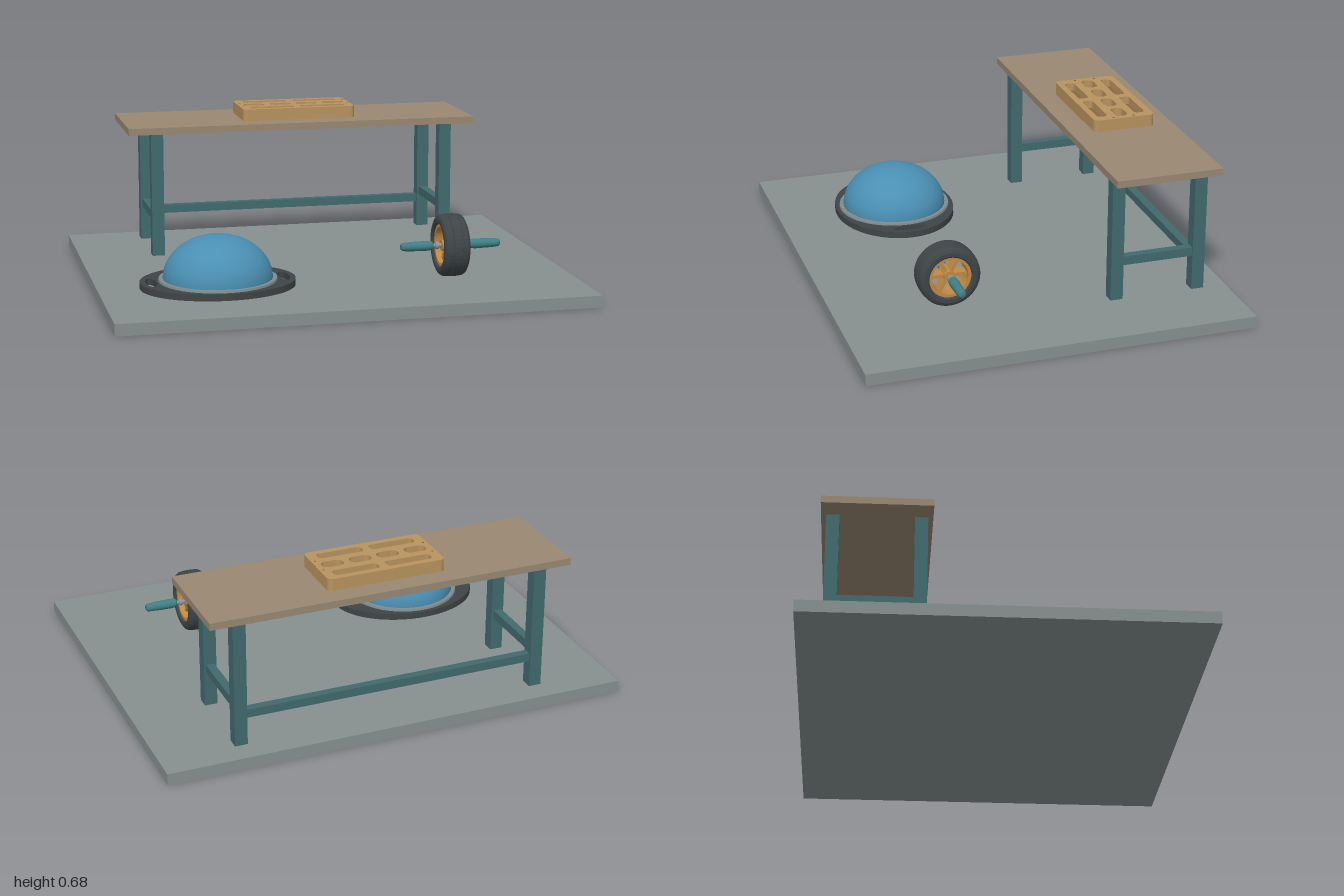
import * as THREE from 'three';

const mat = (color) => new THREE.MeshStandardMaterial({ color });
const M = {
  floor: mat(0x86908f), wood: mat(0x998872), steel: mat(0x416a6e), board: mat(0xb8935f),
  pocket: mat(0x86673f), rubber: mat(0x3f4547), ring: mat(0x7f8c8d), dome: mat(0x4a8fb3),
  rim: mat(0xc08a45), grip: mat(0x3f7f84), metal: mat(0x8a9496),
};

function add(parent, name, geometry, material, x = 0, y = 0, z = 0) {
  const mesh = new THREE.Mesh(geometry, material);
  mesh.name = name;
  mesh.position.set(x, y, z);
  parent.add(mesh);
  return mesh;
}

function group(parent, name, x = 0, y = 0, z = 0) {
  const g = new THREE.Group();
  g.name = name;
  g.position.set(x, y, z);
  parent.add(g);
  return g;
}

// Rounded rectangle centred on (cx, cy)
function roundRect(cx, cy, w, h, r, Type = THREE.Shape) {
  const s = new Type();
  const a = w / 2 - r, b = h / 2 - r;
  s.absarc(cx + a, cy + b, r, 0, Math.PI / 2);
  s.absarc(cx - a, cy + b, r, Math.PI / 2, Math.PI);
  s.absarc(cx - a, cy - b, r, Math.PI, Math.PI * 1.5);
  s.absarc(cx + a, cy - b, r, Math.PI * 1.5, Math.PI * 2);
  s.closePath();
  return s;
}

// Flat shape extruded upwards from y = 0
const slab = (shape, depth, curveSegments = 8) =>
  new THREE.ExtrudeGeometry(shape, { depth, bevelEnabled: false, curveSegments }).rotateX(-Math.PI / 2);

// Lathe turned about the x axis; points are [radius, position along x]
const turned = (points, segments = 40) =>
  new THREE.LatheGeometry(points.map(([r, t]) => new THREE.Vector2(r, t)), segments).rotateZ(-Math.PI / 2);

function buildTable(root) {
  const table = group(root, 'table', 0, 0, -0.512);
  add(table, 'tableTop', new THREE.BoxGeometry(1.566, 0.03, 0.456), M.wood, 0, 0.61, 0);
  for (const sx of [-1, 1]) {
    for (const sz of [-1, 1]) {
      add(table, 'tableLeg', new THREE.BoxGeometry(0.054, 0.545, 0.054), M.steel, sx * 0.656, 0.3225, sz * 0.18);
    }
    add(table, 'sideRail', new THREE.BoxGeometry(0.036, 0.038, 0.306), M.steel, sx * 0.656, 0.218, 0);
  }
  add(table, 'backRail', new THREE.BoxGeometry(1.26, 0.036, 0.036), M.steel, 0, 0.182, -0.18);
}

function buildGripBoard(root) {
  const board = group(root, 'gripBoard', 0, 0.625, -0.518);
  // Pockets: two long ones in the outer rows, four short ones between
  const pockets = [];
  for (const sx of [-1, 1]) {
    for (const sy of [-1, 1]) pockets.push([sx * 0.115, sy * 0.084, 0.196, 0.046, 0.017]);
    for (const x of [0.06, 0.182]) pockets.push([sx * x, 0, 0.094, 0.054, 0.025]);
  }
  const outline = roundRect(0, 0, 0.51, 0.27, 0.022);
  add(board, 'boardBack', slab(outline, 0.018), M.board);
  const face = roundRect(0, 0, 0.51, 0.27, 0.022);
  for (const p of pockets) face.holes.push(roundRect(...p, THREE.Path));
  add(board, 'boardFace', slab(face, 0.034), M.board, 0, 0.018, 0);
  for (const p of pockets) {
    add(board, 'pocketFloor', new THREE.ShapeGeometry(roundRect(...p), 8).rotateX(-Math.PI / 2), M.pocket, 0, 0.019, 0);
  }
  for (const sx of [-1, 1]) for (const sz of [-1, 1]) {
    add(board, 'screw', new THREE.CylinderGeometry(0.004, 0.004, 0.002, 10), M.pocket, sx * 0.239, 0.0525, sz * 0.045);
  }
}

function buildBalanceDome(root) {
  const trainer = group(root, 'balanceTrainer', -0.5, 0.05, 0.298);
  // Oval platform with a slot handle at each end
  const oval = new THREE.Shape();
  oval.absellipse(0, 0, 0.326, 0.264, 0, Math.PI * 2);
  for (const s of [-1, 1]) {
    const slot = new THREE.Path();
    slot.absellipse(s * 0.28, 0, 0.022, 0.074, 0, Math.PI * 2);
    oval.holes.push(slot);
  }
  add(trainer, 'platform', slab(oval, 0.028, 32), M.rubber);
  add(trainer, 'domeCollar', new THREE.CylinderGeometry(0.246, 0.248, 0.009, 56), M.ring, 0, 0.0325, 0);
  // Flattened half sphere
  const dome = new THREE.SphereGeometry(0.229, 48, 20, 0, Math.PI * 2, 0, Math.PI / 2);
  add(trainer, 'dome', dome.scale(1, 0.181 / 0.229, 1), M.dome, 0, 0.036, 0);
  add(trainer, 'airPlug', new THREE.CylinderGeometry(0.007, 0.007, 0.006, 12), M.rim, 0, 0.037, 0.238);
}

function buildRollerWheel(root) {
  const wheel = group(root, 'rollerWheel', 0.492, 0.183, 0.34);
  // Tyre with rounded shoulders and two shallow tread grooves
  const half = [[0.09, 0.05], [0.096, 0.055], [0.112, 0.055], [0.124, 0.049], [0.13, 0.04], [0.132, 0.024],
    [0.129, 0.022], [0.129, 0.018], [0.133, 0.016]];
  const section = [...half.map(([r, t]) => [r, -t]), ...half.slice().reverse(), half[0].map((v, i) => (i ? -v : v))];
  const tyreGeo = turned(section, 48).toNonIndexed();
  tyreGeo.computeVertexNormals();
  add(wheel, 'tyre', tyreGeo, M.rubber);
  const rim = turned([[0.077, -0.045], [0.091, -0.045], [0.091, 0.045], [0.077, 0.045], [0.077, -0.045]], 48).toNonIndexed();
  rim.computeVertexNormals();
  add(wheel, 'rim', rim, M.rim);
  for (let i = 0; i < 6; i++) {
    const arm = group(wheel, 'spokeArm');
    arm.rotation.x = i * Math.PI / 3;
    add(arm, 'spoke', new THREE.BoxGeometry(0.05, 0.014, 0.066), M.rim, 0, 0, 0.047);
  }
  add(wheel, 'hub', new THREE.CylinderGeometry(0.024, 0.024, 0.08, 28).rotateZ(Math.PI / 2), M.rim);
  add(wheel, 'axle', new THREE.CylinderGeometry(0.009, 0.009, 0.42, 20).rotateZ(Math.PI / 2), M.metal);
  // Mirrored tapered handles
  for (const s of [0, 1]) {
    const handle = group(wheel, s ? 'rightHandle' : 'leftHandle');
    handle.rotation.y = s * Math.PI;
    add(handle, 'axleCollar', new THREE.CylinderGeometry(0.015, 0.015, 0.014, 24).rotateZ(Math.PI / 2), M.metal, 0.06, 0, 0);
    add(handle, 'grip', turned([[0, 0.078], [0.016, 0.078], [0.019, 0.083], [0.021, 0.11], [0.02, 0.16], [0.018, 0.2],
      [0.016, 0.212], [0.011, 0.217], [0, 0.217]], 28), M.grip);
  }
}

export function createModel() {
  const root = new THREE.Group();
  root.name = 'trainingArea';
  add(root, 'floorSlab', new THREE.BoxGeometry(2, 0.05, 1.64), M.floor, 0, 0.025, 0);
  buildTable(root);
  buildGripBoard(root);
  buildBalanceDome(root);
  buildRollerWheel(root);
  return root;
}
